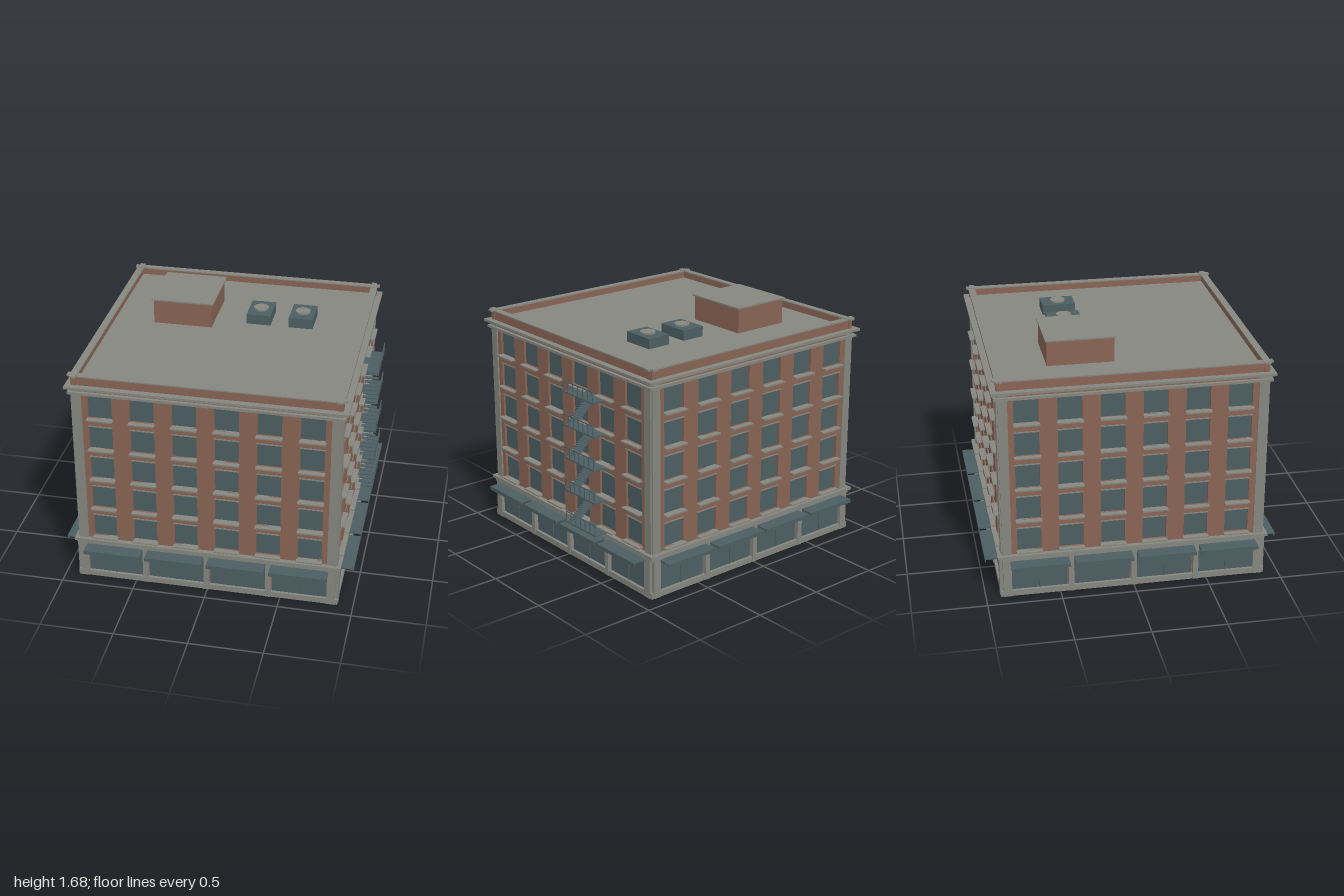
import * as THREE from 'three';

const mat = (name, color) => Object.assign(new THREE.MeshStandardMaterial({ color }), { name });

export function createModel() {
  const brick = mat('brick', 0x886454);
  const stone = mat('stone', 0x85867f);
  const glass = mat('blue grey glass and metal', 0x4c5e62);

  const model = new THREE.Group();
  model.name = 'apartmentBlock';
  const building = new THREE.Group();
  building.name = 'building';
  building.position.x = -0.007;
  model.add(building);

  // Box given by its minimum and maximum corners
  const box = (parent, name, material, x0, x1, y0, y1, z0, z1) => {
    const m = new THREE.Mesh(new THREE.BoxGeometry(x1 - x0, y1 - y0, z1 - z0), material);
    m.position.set((x0 + x1) / 2, (y0 + y1) / 2, (z0 + z1) / 2);
    m.name = name;
    parent.add(m);
  };
  const slab = (name, material, half, y0, y1) =>
    box(building, name, material, -half, half, y0, y1, -half, half);

  // Horizontal layers
  slab('plinth', stone, 0.9, 0, 0.04);
  slab('groundFloorCore', brick, 0.874, 0.04, 0.28);
  slab('baseBandLower', stone, 0.9, 0.264, 0.288);
  slab('baseBandUpper', stone, 0.915, 0.288, 0.308);
  slab('lowerCornice', stone, 0.908, 1.425, 1.442);
  slab('frieze', brick, 0.885, 1.442, 1.468);
  slab('upperCornice', stone, 0.925, 1.468, 1.485);
  slab('roof', stone, 0.86, 1.485, 1.5);

  // One side of the building, facing +z, repeated around the block
  const side = new THREE.Group();
  const columns = [-0.7, -0.42, -0.14, 0.14, 0.42, 0.7];
  const rows = [0, 1, 2, 3, 4].map(i => 0.33 + 0.23 * i);
  const wall = new THREE.Shape();
  wall.moveTo(-0.882, 0.3).lineTo(0.882, 0.3).lineTo(0.882, 1.43).lineTo(-0.882, 1.43).closePath();
  for (const x of columns) for (const y of rows) {
    const hole = new THREE.Path();
    hole.moveTo(x - 0.08, y).lineTo(x - 0.08, y + 0.17).lineTo(x + 0.08, y + 0.17).lineTo(x + 0.08, y).closePath();
    wall.holes.push(hole);
  }
  const wallMesh = new THREE.Mesh(new THREE.ExtrudeGeometry(wall, { depth: 0.027, bevelEnabled: false }), brick);
  wallMesh.position.z = 0.855;
  wallMesh.name = 'brickWall';
  side.add(wallMesh);

  for (const x of columns) for (const y of rows) {
    box(side, 'windowPane', glass, x - 0.08, x + 0.08, y, y + 0.17, 0.855, 0.866);
    box(side, 'windowSill', stone, x - 0.087, x + 0.087, y - 0.01, y, 0.864, 0.917);
    box(side, 'windowLintel', stone, x - 0.083, x + 0.083, y + 0.164, y + 0.172, 0.86, 0.886);
  }

  // Shop windows and awnings
  for (const x of [-0.6375, -0.2125, 0.2125, 0.6375]) {
    box(side, 'shopWindow', glass, x - 0.187, x + 0.187, 0.04, 0.264, 0.87, 0.88);
    box(side, 'shopMullion', glass, x - 0.004, x + 0.004, 0.04, 0.264, 0.88, 0.886);
    box(side, 'awningTop', glass, x - 0.195, x + 0.195, 0.252, 0.262, 0.87, 0.993);
    box(side, 'awningValance', glass, x - 0.195, x + 0.195, 0.236, 0.253, 0.985, 0.993);
  }
  for (const x of [-0.425, 0, 0.425])
    box(side, 'shopPier', stone, x - 0.018, x + 0.018, 0, 0.28, 0.86, 0.904);

  // Corner pilasters, leaving a notch at each corner, and parapet piers above
  for (const s of [-1, 1]) {
    const strip = (name, material, a, b, y0, y1, z0, z1) =>
      box(side, name, material, Math.min(s * a, s * b), Math.max(s * a, s * b), y0, y1, z0, z1);
    strip('basePilaster', stone, 0.825, 0.882, 0, 0.28, 0.83, 0.904);
    strip('wallPilaster', stone, 0.82, 0.882, 0.3, 1.468, 0.83, 0.892);
    strip('parapetPier', brick, 0.85, 0.88, 1.485, 1.548, 0.84, 0.888);
    strip('parapetPierCap', stone, 0.846, 0.884, 1.546, 1.558, 0.835, 0.908);
  }

  // Parapet with coping
  box(side, 'parapet', brick, -0.882, 0.882, 1.485, 1.546, 0.852, 0.882);
  box(side, 'parapetCoping', stone, -0.893, 0.893, 1.546, 1.554, 0.845, 0.893);

  ['frontSide', 'leftSide', 'backSide', 'rightSide'].forEach((name, i) => {
    const s = side.clone();
    s.name = name;
    s.rotation.y = i * Math.PI / 2;
    building.add(s);
  });

  // Rooftop penthouse and fan units
  box(model, 'penthouse', brick, -0.578, -0.172, 1.495, 1.67, -0.52, -0.075);
  box(model, 'penthouseRoof', stone, -0.593, -0.158, 1.67, 1.68, -0.53, -0.065);
  for (const x of [0.137, 0.432]) {
    box(model, 'coolingUnit', glass, x - 0.084, x + 0.084, 1.495, 1.57, -0.415, -0.185);
    const fan = new THREE.Mesh(new THREE.CylinderGeometry(0.052, 0.052, 0.014, 20), stone);
    fan.position.set(x, 1.575, -0.3);
    fan.name = 'coolingFan';
    model.add(fan);
  }

  // Fire escape on the +x side
  const escape = new THREE.Group();
  escape.name = 'fireEscape';
  model.add(escape);
  for (let i = 0; i < 5; i++) {
    const y = 0.315 + 0.231 * i;
    box(escape, 'landing', glass, 0.86, 0.996, y - 0.005, y + 0.004, -0.44, -0.12);
    box(escape, 'handrail', glass, 0.994, 1, y + 0.074, y + 0.08, -0.44, -0.12);
    for (let k = 0; k < 7; k++) {
      const z = -0.4375 + 0.315 * k / 6;
      box(escape, 'railPost', glass, 0.9945, 0.9995, y, y + 0.076, z - 0.0025, z + 0.0025);
    }
    if (i === 4) break;
    // Treads climbing to the next landing
    for (let k = 1; k <= 10; k++) {
      const ty = y + 0.231 * k / 11, z = -0.135 - 0.2 * k / 11;
      box(escape, 'tread', glass, 0.89, 0.985, ty - 0.003, ty + 0.003, z - 0.014, z + 0.014);
    }
  }
  return model;
}
